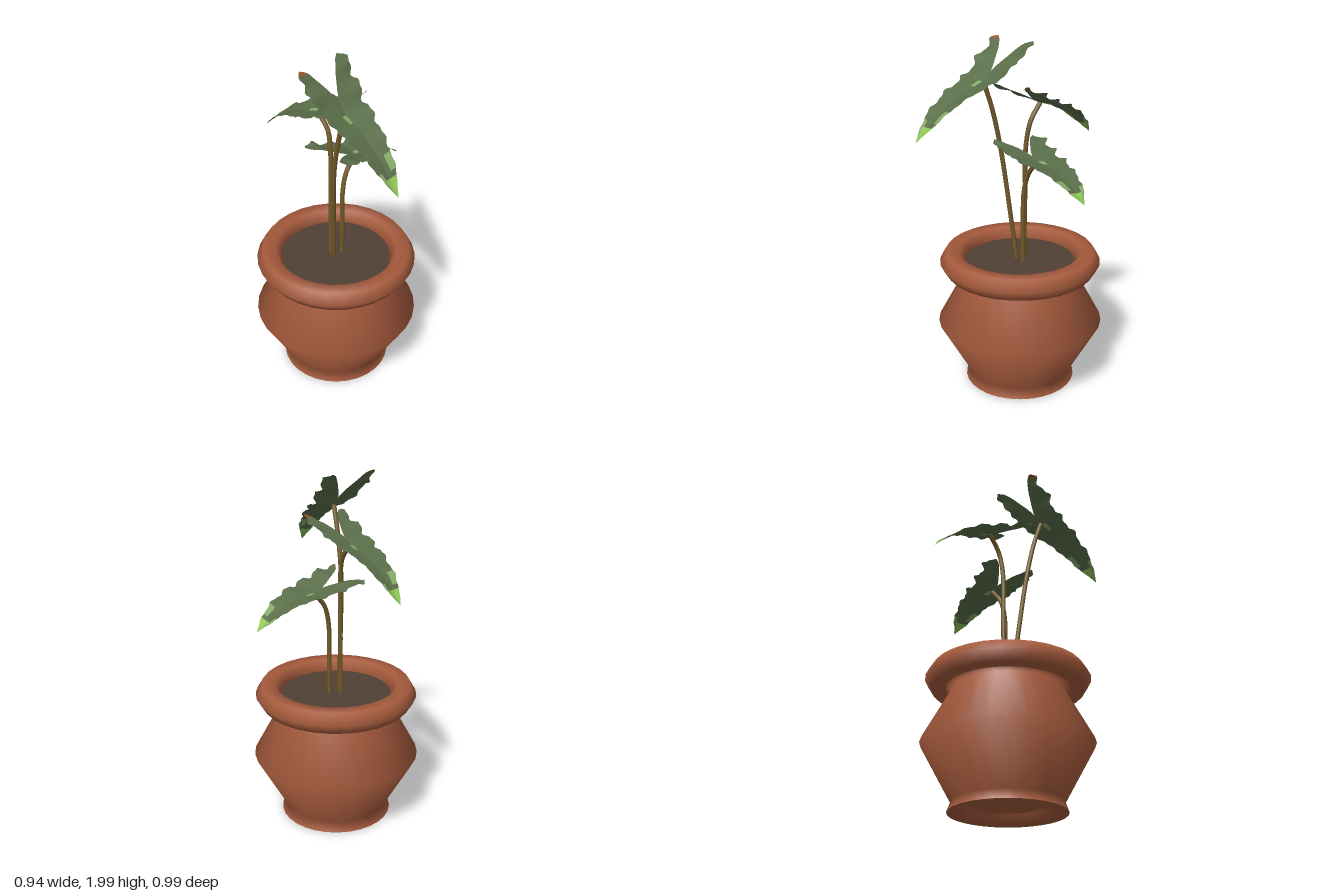
import * as THREE from 'three';

const mat = (name, color, side = THREE.FrontSide) => {
  const m = new THREE.MeshStandardMaterial({ color, side });
  m.name = name;
  return m;
};

// Half outline of a leaf: [distance along midrib, inner edge, outer edge]
const OUTLINE = [
  [0.5, 0, 0], [0.46, 0, 0.02], [0.4, 0, 0.05], [0.3, 0, 0.078], [0.2, 0, 0.095],
  [0.1, 0, 0.12], [0, 0, 0.135], [-0.07, 0, 0.148], [-0.12, 0.02, 0.155],
  [-0.2, 0.06, 0.165], [-0.265, 0.1, 0.16], [-0.29, 0.135, 0.145],
];

function edges(s) {
  let k = 0;
  while (k < OUTLINE.length - 2 && s < OUTLINE[k + 1][0]) k++;
  const a = OUTLINE[k], b = OUTLINE[k + 1];
  const t = (s - a[0]) / (b[0] - a[0]);
  return [THREE.MathUtils.lerp(a[1], b[1], t), THREE.MathUtils.lerp(a[2], b[2], t)];
}

// Colour zones: 0 body, 1 bright tip, 2 pale patches, 3 withered lobe end
function zoneAt(s, side, j, brownTip) {
  if (side > 0 && s > 0.36 && j > 2) return 2;
  if (s > 0.405) return 1;
  if (side < 0 && s > 0.29 && s < 0.37 && j > 1) return 2;
  if (side > 0 && s < -0.262 && brownTip) return 3;
  if (side > 0 && s > 0.01 && s < 0.06 && j === 0) return 2;
  return 0;
}

// Arrow-shaped leaf spanned by its stalk joint, its tip and its two lobe ends
function leafGeometry(joint, tip, lobeA, lobeB, brownTip, phase) {
  const P = new THREE.Vector3(...joint);
  const T = new THREE.Vector3(...tip).sub(P).divideScalar(0.5);
  const A = new THREE.Vector3(...lobeA), B = new THREE.Vector3(...lobeB);
  const back = A.clone().add(B).multiplyScalar(0.5).sub(P).divideScalar(0.29);
  const W = A.clone().sub(B).multiplyScalar(0.5 / 0.14);
  const N = T.clone().cross(W).normalize();
  const up = N.y > 0 ? 1 : -1;
  N.multiplyScalar(up);

  const rows = 56, cols = 5, pos = [], lists = [[], [], [], []];
  for (const side of [1, -1]) {
    const start = pos.length / 3;
    for (let i = 0; i <= rows; i++) {
      const s = 0.5 - (0.79 * i) / rows;
      const [inner, outer] = edges(s);
      const wave = 1 + 0.06 * Math.sin(s * 42 + phase + side) + 0.05 * Math.sin(s * 93 + 2 * phase);
      for (let j = 0; j <= cols; j++) {
        const w = inner + (outer * wave - inner) * (j / cols);
        const e = w / 0.14;
        const lift = (s > 0 ? 0.037 * Math.sin(Math.PI * s / 0.5) : 0)
          + 0.02 * e * Math.min(1, 1 + s / 0.29)
          + 0.008 * e * e * Math.sin(s * 45 + phase + side * 0.8);
        const p = P.clone().addScaledVector(s > 0 ? T : back, Math.abs(s))
          .addScaledVector(W, side * w).addScaledVector(N, lift);
        pos.push(p.x, p.y, p.z);
      }
    }
    for (let i = 0; i < rows; i++) {
      const s = 0.5 - (0.79 * (i + 0.5)) / rows;
      for (let j = 0; j < cols; j++) {
        const a = start + i * (cols + 1) + j, b = a + cols + 1;
        const quad = side * up > 0 ? [a, a + 1, b, b, a + 1, b + 1] : [a, b, a + 1, b, b + 1, a + 1];
        lists[zoneAt(s, side, j, brownTip)].push(...quad);
      }
    }
  }
  const g = new THREE.BufferGeometry();
  g.setAttribute('position', new THREE.Float32BufferAttribute(pos, 3));
  g.setIndex(lists.flat());
  let offset = 0;
  lists.forEach((l, k) => {
    if (l.length) g.addGroup(offset, l.length, k);
    offset += l.length;
  });
  g.computeVertexNormals();
  return g;
}

export function createModel() {
  const root = new THREE.Group();
  const clay = mat('terracotta', 0xa65b3d, THREE.DoubleSide);
  const earth = mat('soil', 0x4f4034);
  const stalk = mat('stalk brown', 0x735a2a);
  const leafMats = [
    mat('leaf green', 0x5a6e4a, THREE.DoubleSide),
    mat('bright tip green', 0x8cc653, THREE.DoubleSide),
    mat('pale leaf green', 0x86a868, THREE.DoubleSide),
    mat('withered brown', 0x94572a, THREE.DoubleSide),
  ];
  const add = (parent, name, geo, material) => {
    const m = new THREE.Mesh(geo, material);
    m.name = name;
    parent.add(m);
  };
  const lathe = (pts) => new THREE.LatheGeometry(pts.map((p) => new THREE.Vector2(...p)), 30);

  // Pot
  const pot = new THREE.Group();
  pot.name = 'pot';
  pot.position.z = -0.02;
  root.add(pot);
  add(pot, 'potBody', lathe([[0.32, 0], [0.3, 0.055], [0.475, 0.37], [0.31, 0.675], [0.365, 0.7]]), clay);
  add(pot, 'footRing', lathe([[0.21, 0.05], [0.235, 0.005], [0.275, 0], [0.32, 0]]), clay);
  add(pot, 'potFloor', new THREE.CircleGeometry(0.3, 30).rotateX(Math.PI / 2).translate(0, 0.05, 0), clay);
  add(pot, 'rim', new THREE.TorusGeometry(0.387, 0.073, 6, 30).rotateX(Math.PI / 2)
    .scale(1, 0.95, 1).translate(0, 0.74, 0), clay);
  add(pot, 'soil', new THREE.CircleGeometry(0.316, 30).rotateX(-Math.PI / 2).translate(0, 0.738, 0), earth);

  // Stalks, each carrying one leaf
  const plants = [
    {
      name: 'tall', path: [[-0.015, 0.72, 0], [-0.015, 1.0, 0.035], [-0.01, 1.4, 0.09], [0.015, 1.62, 0.13], [0.045, 1.78, 0.172]],
      tip: [0.3, 1.5, 0.495], lobes: [[-0.18, 1.985, 0.12], [0.01, 1.995, -0.09]], brown: true,
    },
    {
      name: 'middle', path: [[-0.03, 0.72, -0.04], [-0.03, 1.1, -0.045], [-0.03, 1.42, -0.05], [-0.045, 1.55, -0.075], [-0.1, 1.635, -0.12]],
      tip: [-0.395, 1.4, -0.39], lobes: [[0.16, 1.77, -0.07], [0.01, 1.76, 0.14]], brown: true,
    },
    {
      name: 'low', path: [[0.035, 0.72, -0.04], [0.035, 1.0, -0.04], [0.037, 1.16, -0.045], [0.055, 1.27, -0.07], [0.105, 1.36, -0.125]],
      tip: [0.355, 1.21, -0.39], lobes: [[-0.17, 1.435, -0.08], [0.03, 1.45, 0.12]], brown: false,
    },
  ];
  plants.forEach((p, i) => {
    const curve = new THREE.CatmullRomCurve3(p.path.map((v) => new THREE.Vector3(...v)));
    add(root, p.name + 'Stalk', new THREE.TubeGeometry(curve, 24, 0.013, 8), stalk);
    add(root, p.name + 'Leaf', leafGeometry(p.path[4], p.tip, ...p.lobes, p.brown, i * 1.7), leafMats);
  });
  return root;
}
